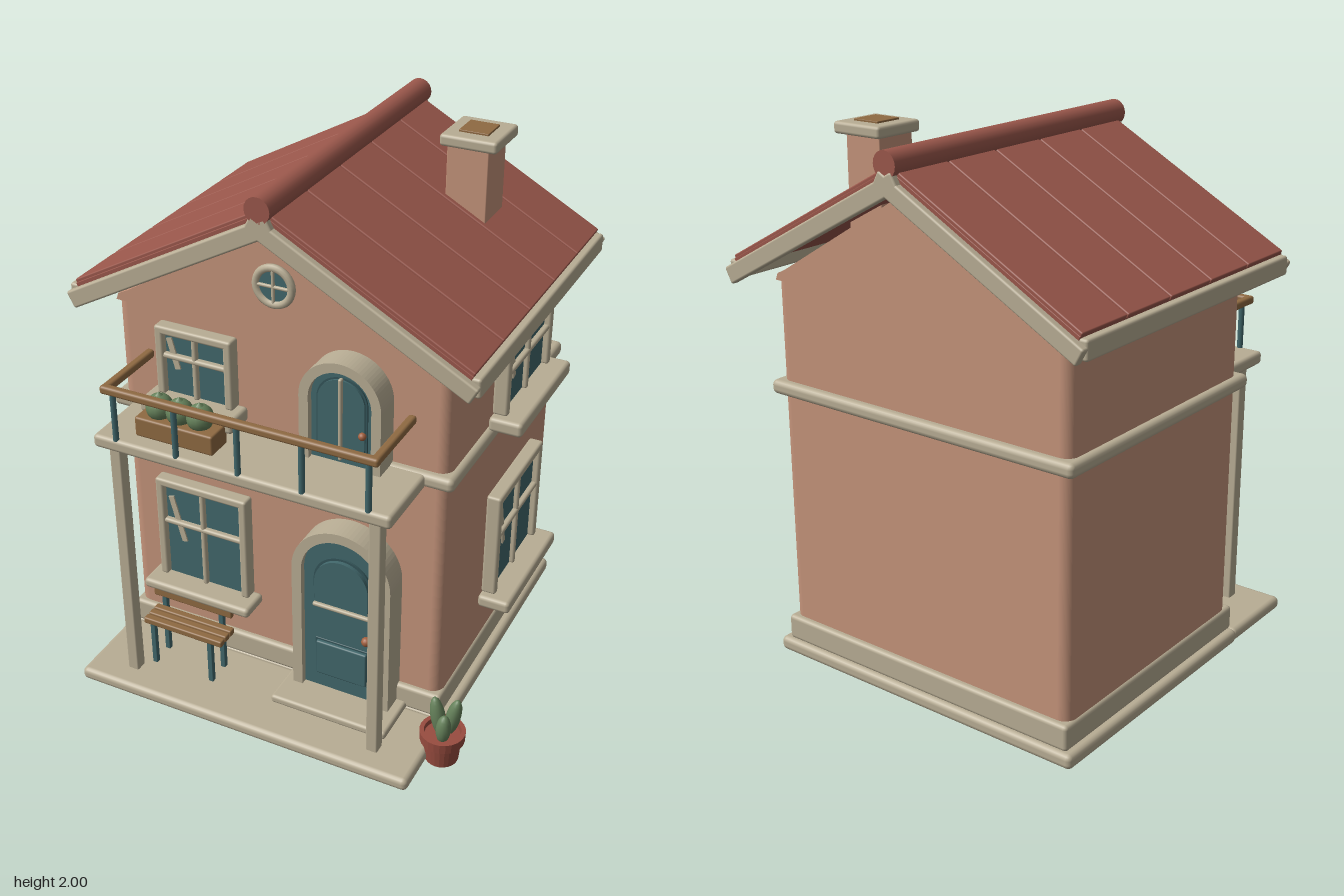
import * as THREE from 'three';
import { RoundedBoxGeometry } from 'three/addons/geometries/RoundedBoxGeometry.js';

const mat = (name, color) => Object.assign(new THREE.MeshStandardMaterial({ color }), { name });
const wall = mat('terracottaPlaster', 0xc4937a);
const stone = mat('paleStone', 0xb8ad94);
const tile = mat('roofRed', 0x9a574b);
const teal = mat('tealPaint', 0x41676b);
const darkTeal = mat('darkTeal', 0x345559);
const wood = mat('wood', 0x8f6a42);
const leaf = mat('leafGreen', 0x66825b);
const clay = mat('clay', 0x984c3f);
const copper = mat('copper', 0xa2603f);

const CX = -0.015, FRONT = 0.39, BACK = -0.64;

function add(parent, name, geometry, material, x = 0, y = 0, z = 0) {
  const m = new THREE.Mesh(geometry, material);
  m.name = name;
  m.position.set(x, y, z);
  parent.add(m);
  return m;
}

// softly rounded box given by its extents
function block(parent, name, material, [x0, x1], [y0, y1], [z0, z1], r = 0.01) {
  const w = x1 - x0, h = y1 - y0, d = z1 - z0;
  const radius = Math.min(r, Math.min(w, h, d) * 0.45);
  return add(parent, name, new RoundedBoxGeometry(w, h, d, 2, radius), material,
    (x0 + x1) / 2, (y0 + y1) / 2, (z0 + z1) / 2);
}

const extrude = (shape, depth) =>
  new THREE.ExtrudeGeometry(shape, { depth, bevelEnabled: false, curveSegments: 20 });

// round-topped outline standing on y = 0
function archShape(r, spring, inner = 0) {
  const s = new THREE.Shape();
  s.moveTo(-r, 0);
  if (inner) {
    s.lineTo(-inner, 0).lineTo(-inner, spring);
    s.absarc(0, spring, inner, Math.PI, 0, true);
    s.lineTo(inner, 0);
  }
  s.lineTo(r, 0).lineTo(r, spring);
  s.absarc(0, spring, r, 0, Math.PI, false);
  s.closePath();
  return s;
}

// window with its foot at the origin, facing +z
function makeWindow(name, w, h, sillH) {
  const g = new THREE.Group();
  g.name = name;
  const a = w / 2, t = 0.032, z = [0.03, 0.085], mid = h * 0.57;
  block(g, 'glass', teal, [-a + 0.01, a - 0.01], [0, h - 0.01], [0.04, 0.06], 0.002);
  for (const s of [-1, 1]) block(g, 'jamb', stone, [s * (a - t / 2) - t / 2, s * (a - t / 2) + t / 2], [0, h], z);
  block(g, 'lintel', stone, [-a, a], [h - t, h], z);
  block(g, 'mullion', stone, [-0.01, 0.01], [0, h], [0.045, 0.078]);
  block(g, 'transom', stone, [-a, a], [mid - 0.01, mid + 0.01], [0.045, 0.08]);
  block(g, 'sill', stone, [-a - 0.034, a + 0.034], [-sillH, 0.004], [0.03, 0.152], 0.015);
  const glint = add(g, 'glint', new THREE.BoxGeometry(0.022, h * 0.45, 0.006), stone, -w * 0.29, h * 0.6, 0.063);
  glint.rotation.z = 0.26;
  return g;
}

// arched door with surround, foot at the origin
function makeDoor(name, outer, inner, spring) {
  const g = new THREE.Group();
  g.name = name;
  add(g, 'surround', extrude(archShape(outer, spring, inner), 0.1), stone);
  add(g, 'leaf', extrude(archShape(inner, spring), 0.075), teal);
  return g;
}

function makeRoof() {
  const g = new THREE.Group();
  g.name = 'roof';
  const angle = 0.5005, len = 0.843, z0 = -0.735, z1 = 0.48, n = 5;
  for (const s of [-1, 1]) {
    const side = new THREE.Group();
    side.name = 'roofSlope';
    side.position.set(CX, 1.945, 0);
    side.rotation.z = -s * angle;
    g.add(side);
    const span = (a, b) => (s > 0 ? [a, b] : [-b, -a]);
    block(side, 'roofDeck', tile, span(0, len), [-0.045, -0.012], [z0, z1], 0.002);
    const step = (z1 - z0) / n;
    for (let i = 0; i < n; i++)
      block(side, 'roofPanel', tile, span(0, len), [-0.03, 0],
        [z0 + i * step + 0.004, z0 + (i + 1) * step - 0.004], 0.005);
    for (const z of [-0.743, 0.489])
      block(side, 'bargeboard', stone, span(-0.015, len + 0.04), [-0.09, -0.026], [z - 0.016, z + 0.016], 0.008);
    block(g, 'eaveFascia', stone, [CX + s * 0.742 - 0.018, CX + s * 0.742 + 0.018], [1.455, 1.525], [z0, z1]);
  }
  const ridge = add(g, 'ridgeCap', new THREE.CylinderGeometry(0.046, 0.046, 1.26, 20), tile, CX, 1.948, -0.125);
  ridge.rotation.x = Math.PI / 2;
  return g;
}

export function createModel() {
  const house = new THREE.Group();
  house.name = 'house';

  // walls with rounded upright corners
  const a = 0.635, d = (FRONT - BACK) / 2, r = 0.045;
  const plan = new THREE.Shape();
  plan.absarc(a - r, d - r, r, 0, Math.PI / 2);
  plan.absarc(-a + r, d - r, r, Math.PI / 2, Math.PI);
  plan.absarc(-a + r, -d + r, r, Math.PI, Math.PI * 1.5);
  plan.absarc(a - r, -d + r, r, Math.PI * 1.5, Math.PI * 2);
  const walls = add(house, 'walls', extrude(plan, 1.41), wall, CX, 0.04, (FRONT + BACK) / 2);
  walls.rotation.x = -Math.PI / 2;
  const gable = new THREE.Shape();
  gable.moveTo(-a, 1.45).lineTo(a, 1.45).lineTo(a - 0.01, 1.475).lineTo(a - 0.05, 1.495)
    .lineTo(0, 1.85).lineTo(-a + 0.05, 1.495).lineTo(-a + 0.01, 1.475).closePath();
  add(house, 'gable', extrude(gable, FRONT - BACK), wall, CX, 0, BACK);

  // stone courses and porch floor
  block(house, 'foundation', stone, [-0.69, 0.66], [0, 0.055], [-0.683, 0.41], 0.02);
  block(house, 'plinth', stone, [-0.66, 0.63], [0.05, 0.147], [-0.663, 0.412], 0.015);
  block(house, 'floorBand', stone, [-0.678, 0.645], [1.032, 1.085], [-0.67, 0.42], 0.02);
  block(house, 'porchFloor', stone, [-0.685, 0.655], [0, 0.05], [0.4, 0.757], 0.02);
  block(house, 'doorStep', stone, [0.04, 0.5], [0.045, 0.078], [0.39, 0.6], 0.012);

  house.add(makeRoof());

  // chimney
  block(house, 'chimney', wall, [0.298, 0.451], [1.6, 1.96], [-0.435, -0.27], 0.004);
  block(house, 'chimneyCap', stone, [0.274, 0.484], [1.95, 1.993], [-0.465, -0.252], 0.012);
  block(house, 'chimneyFlue', wood, [0.324, 0.433], [1.97, 2.0], [-0.414, -0.305], 0.002);

  // balcony
  block(house, 'balconyFloor', stone, [-0.583, 0.545], [1.03, 1.08], [0.39, 0.69], 0.015);
  for (const x of [-0.51, 0.481])
    block(house, 'porchColumn', stone, [x - 0.022, x + 0.022], [0.04, 1.04], [0.622, 0.67], 0.006);
  block(house, 'frontRail', wood, [-0.535, 0.5], [1.256, 1.287], [0.664, 0.695]);
  for (const x of [-0.519, 0.484])
    block(house, 'sideRail', wood, [x - 0.015, x + 0.015], [1.256, 1.287], [FRONT, 0.69]);
  for (let i = 0; i < 5; i++)
    add(house, 'railPost', new THREE.CylinderGeometry(0.011, 0.011, 0.19, 10), teal, -0.492 + i * 0.2385, 1.17, 0.678);

  // planter with bushes
  block(house, 'planter', wood, [-0.446, -0.14], [1.08, 1.155], [0.527, 0.63], 0.008);
  for (const x of [-0.375, -0.295, -0.215]) {
    const bush = add(house, 'bush', new THREE.SphereGeometry(0.049, 14, 10), leaf, x, 1.186, 0.575);
    add(bush, 'bushTip', new THREE.ConeGeometry(0.03, 0.025, 12), leaf, 0, 0.046, 0);
  }

  // windows on the front and the left side
  const place = (win, x, y, z, turn = 0) => {
    win.position.set(x, y, z);
    win.rotation.y = turn;
    house.add(win);
  };
  place(makeWindow('frontUpperWindow', 0.3, 0.265, 0.05), -0.298, 1.17, FRONT);
  place(makeWindow('frontLowerWindow', 0.375, 0.425, 0.035), -0.3, 0.378, FRONT);
  place(makeWindow('sideUpperWindow', 0.44, 0.265, 0.05), 0.617, 1.17, -0.127, Math.PI / 2);
  place(makeWindow('sideLowerWindow', 0.44, 0.42, 0.045), 0.617, 0.413, -0.127, Math.PI / 2);

  // round attic window
  const attic = new THREE.Group();
  attic.name = 'roundWindow';
  attic.position.set(CX, 1.645, FRONT);
  house.add(attic);
  add(attic, 'roundGlass', new THREE.CylinderGeometry(0.066, 0.066, 0.02, 28), teal, 0, 0, 0.008).rotation.x = Math.PI / 2;
  add(attic, 'roundFrame', new THREE.TorusGeometry(0.066, 0.014, 10, 32), stone, 0, 0, 0.015);
  block(attic, 'roundMullion', stone, [-0.006, 0.006], [-0.06, 0.06], [0.01, 0.026]);
  block(attic, 'roundTransom', stone, [-0.06, 0.06], [-0.006, 0.006], [0.01, 0.026]);

  // front door
  const door = makeDoor('frontDoor', 0.192, 0.154, 0.535);
  door.position.set(0.27, 0.07, FRONT);
  add(door, 'archPanelEdge', extrude(archShape(0.113, 0.09), 0.008), darkTeal, 0, 0.43 - 0.02, 0.074);
  add(door, 'archPanel', extrude(archShape(0.104, 0.09), 0.022), teal, 0, 0.43 - 0.02, 0.074);
  block(door, 'doorBar', stone, [-0.112, 0.112], [0.386, 0.402], [0.07, 0.1]);
  block(door, 'lowerPanelEdge', darkTeal, [-0.108, 0.108], [0.072, 0.235], [0.073, 0.082], 0.003);
  block(door, 'lowerPanel', teal, [-0.1, 0.1], [0.08, 0.227], [0.073, 0.095], 0.006);
  add(door, 'knob', new THREE.SphereGeometry(0.018, 14, 10), copper, 0.103, 0.3, 0.1);
  house.add(door);

  // balcony door
  const upper = makeDoor('balconyDoor', 0.15, 0.115, 0.237);
  upper.position.set(0.265, 1.08, FRONT);
  add(upper, 'panelEdge', extrude(archShape(0.093, 0.2), 0.007), darkTeal, 0, 0.035, 0.074);
  add(upper, 'panel', extrude(archShape(0.086, 0.2), 0.014), teal, 0, 0.035, 0.074);
  block(upper, 'doorMullion', stone, [-0.007, 0.007], [0.02, 0.33], [0.08, 0.1]);
  add(upper, 'knob', new THREE.SphereGeometry(0.014, 14, 10), copper, 0.08, 0.133, 0.092);
  house.add(upper);

  // bench
  const bench = new THREE.Group();
  bench.name = 'bench';
  house.add(bench);
  for (const z of [0.525, 0.56, 0.595])
    block(bench, 'seatSlat', wood, [-0.488, -0.155], [0.232, 0.258], [z - 0.015, z + 0.015], 0.006);
  block(bench, 'backSlat', wood, [-0.488, -0.155], [0.31, 0.35], [0.51, 0.53], 0.006);
  for (const x of [-0.456, -0.212]) {
    block(bench, 'rearLeg', teal, [x - 0.01, x + 0.01], [0.045, 0.345], [0.492, 0.512], 0.003);
    block(bench, 'frontLeg', teal, [x - 0.01, x + 0.01], [0.045, 0.24], [0.582, 0.602], 0.003);
  }

  // potted cactus
  const profile = [[0, 0.005], [0.06, 0.005], [0.068, 0.085], [0.08, 0.088], [0.082, 0.127], [0.066, 0.127], [0.064, 0.108], [0, 0.108]]
    .map(([x, y]) => new THREE.Vector2(x, y));
  const potGeo = new THREE.LatheGeometry(profile, 24).toNonIndexed();
  potGeo.computeVertexNormals();
  add(house, 'pot', potGeo, clay, 0.695, 0, 0.535);
  for (const [x, z, tilt] of [[0.674, 0.53, 0.2], [0.722, 0.51, -0.2], [0.705, 0.555, -0.05]]) {
    const h = tilt === -0.05 ? 0.06 : 0.085;
    const c = add(house, 'cactus', new THREE.SphereGeometry(1, 14, 12), leaf, x, 0.09 + h, z);
    c.scale.set(0.027, h, 0.027);
    c.rotation.z = tilt;
  }
  return house;
}
